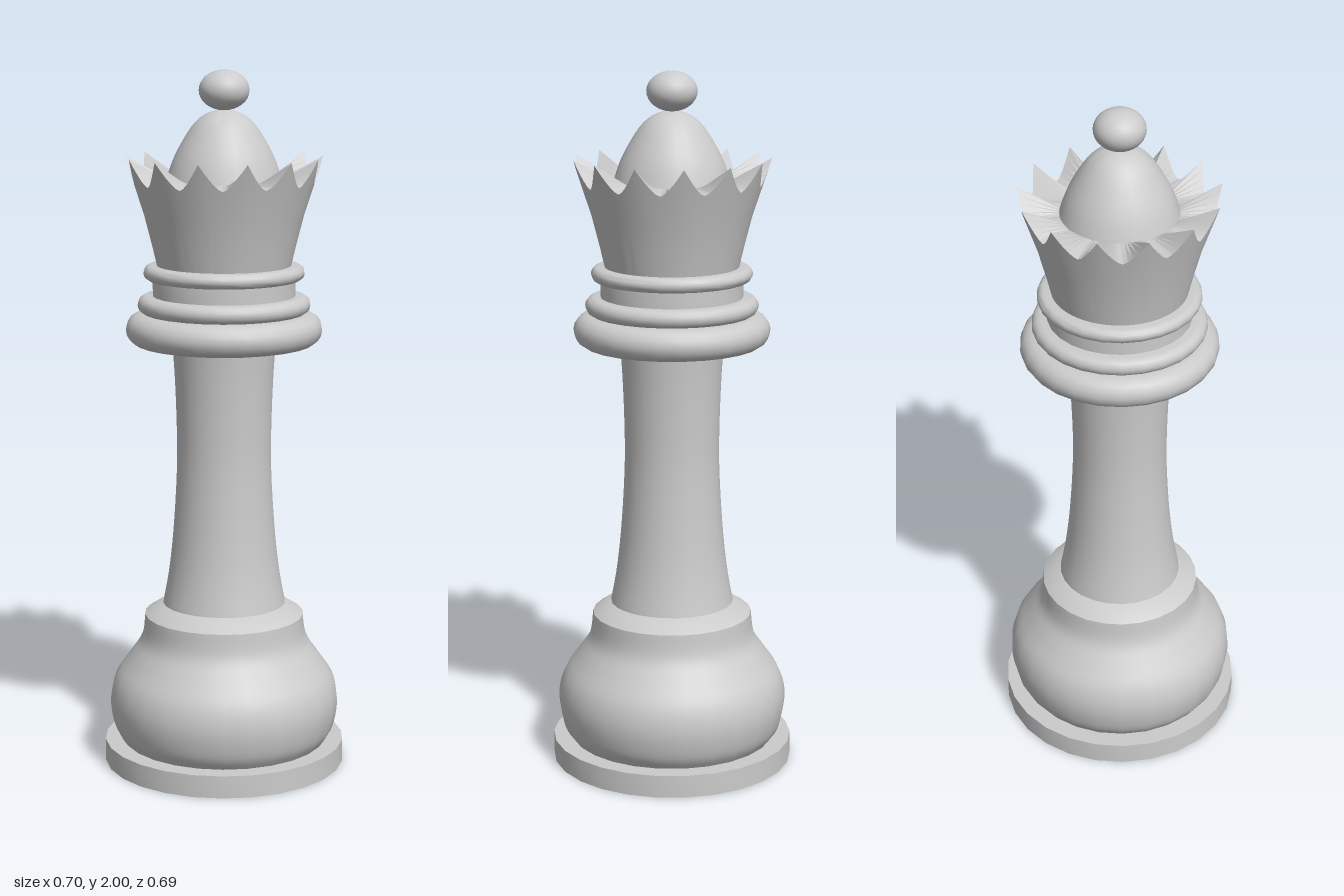
import * as THREE from 'three';
import { toCreasedNormals } from 'three/addons/utils/BufferGeometryUtils.js';

const SIDES = 26;
const POINTS = 13;
const material = new THREE.MeshStandardMaterial({ color: 0xcccccc });

const vec = ([r, y]) => new THREE.Vector2(r, y);

// Smooth curve through a few [radius, y] pairs
const smooth = (pairs, n) =>
  new THREE.SplineCurve(pairs.map(vec)).getPoints(n).map((p) => [p.x, p.y]);

// Bulging half-oval edge of a ring from y0 to y1, reaching radius r
function roundEdge(r, y0, y1, bulge, n = 8) {
  const out = [];
  for (let i = 0; i <= n; i++) {
    const a = -Math.PI / 2 + (Math.PI * i) / n;
    out.push([r - bulge + bulge * Math.cos(a), (y0 + y1) / 2 + ((y1 - y0) / 2) * Math.sin(a)]);
  }
  return out;
}

// Turned part with crisp edges where the profile bends sharply
function turned(name, profile, sides = SIDES) {
  const geo = new THREE.LatheGeometry(profile.map(vec), sides, Math.PI / 2);
  const mesh = new THREE.Mesh(toCreasedNormals(geo, 0.6), material);
  mesh.name = name;
  return mesh;
}

// Flared crown whose rim rises to sharp points with rounded notches between
function crown() {
  const steps = 10;
  const rimLow = 1.685, rimHigh = 1.76;
  const profile = [[0.188, 1.45], [0.202, 1.51], [0.225, 1.6], [0.252, rimLow], [0.16, 1.695]];
  const geo = new THREE.LatheGeometry(profile.map(vec), POINTS * steps, Math.PI / 2);
  const pos = geo.attributes.position;
  for (let i = 0; i < pos.count; i++) {
    if (i % profile.length !== 3) continue;
    // the first notch lies on +x, so a point lies on -x
    const column = Math.floor(i / profile.length) % steps;
    const t = Math.min(column, steps - column) / (steps / 2);
    const lift = Math.pow(t, 1.5);
    const r = 0.252 + 0.027 * lift;
    const angle = Math.atan2(pos.getZ(i), pos.getX(i));
    pos.setXYZ(i, r * Math.cos(angle), rimLow + (rimHigh - rimLow) * lift, r * Math.sin(angle));
  }
  const mesh = new THREE.Mesh(toCreasedNormals(geo, 0.6), material);
  mesh.name = 'crown';
  return mesh;
}

export function createModel() {
  const group = new THREE.Group();
  group.name = 'chessQueen';

  // Foot
  group.add(turned('footDisc', [[0, 0], [0.348, 0], [0.348, 0.065], [0, 0.065]]));
  group.add(turned('bulb', [
    [0, 0.065],
    ...smooth([[0.295, 0.065], [0.319, 0.105], [0.332, 0.18], [0.318, 0.25], [0.275, 0.315],
      [0.24, 0.37], [0.23, 0.44]], 24),
    [0.175, 0.475], [0, 0.475],
  ]));

  // Stem
  group.add(turned('stem', smooth([[0.178, 0.47], [0.16, 0.57], [0.146, 0.7], [0.136, 0.87],
    [0.136, 1.0], [0.141, 1.14], [0.148, 1.24]], 20)));

  // Collar rings
  group.add(turned('lowerCollar', [[0, 1.23], ...roundEdge(0.279, 1.23, 1.32, 0.045), [0, 1.32]]));
  group.add(turned('middleCollar', [[0, 1.318], ...roundEdge(0.245, 1.32, 1.37, 0.025), [0, 1.37]]));
  group.add(turned('neck', [[0.202, 1.365], [0.202, 1.42]]));
  group.add(turned('upperCollar', [[0, 1.415], ...roundEdge(0.228, 1.415, 1.456, 0.02), [0, 1.456]]));

  // Head
  group.add(crown());
  group.add(turned('dome', smooth([[0.17, 1.66], [0.163, 1.695], [0.138, 1.765], [0.09, 1.845],
    [0.048, 1.88], [0, 1.893]], 20)));
  const finial = new THREE.Mesh(new THREE.SphereGeometry(1, SIDES, 16), material);
  finial.name = 'finial';
  finial.scale.set(0.071, 0.056, 0.071);
  finial.position.y = 1.944;
  group.add(finial);

  return group;
}
